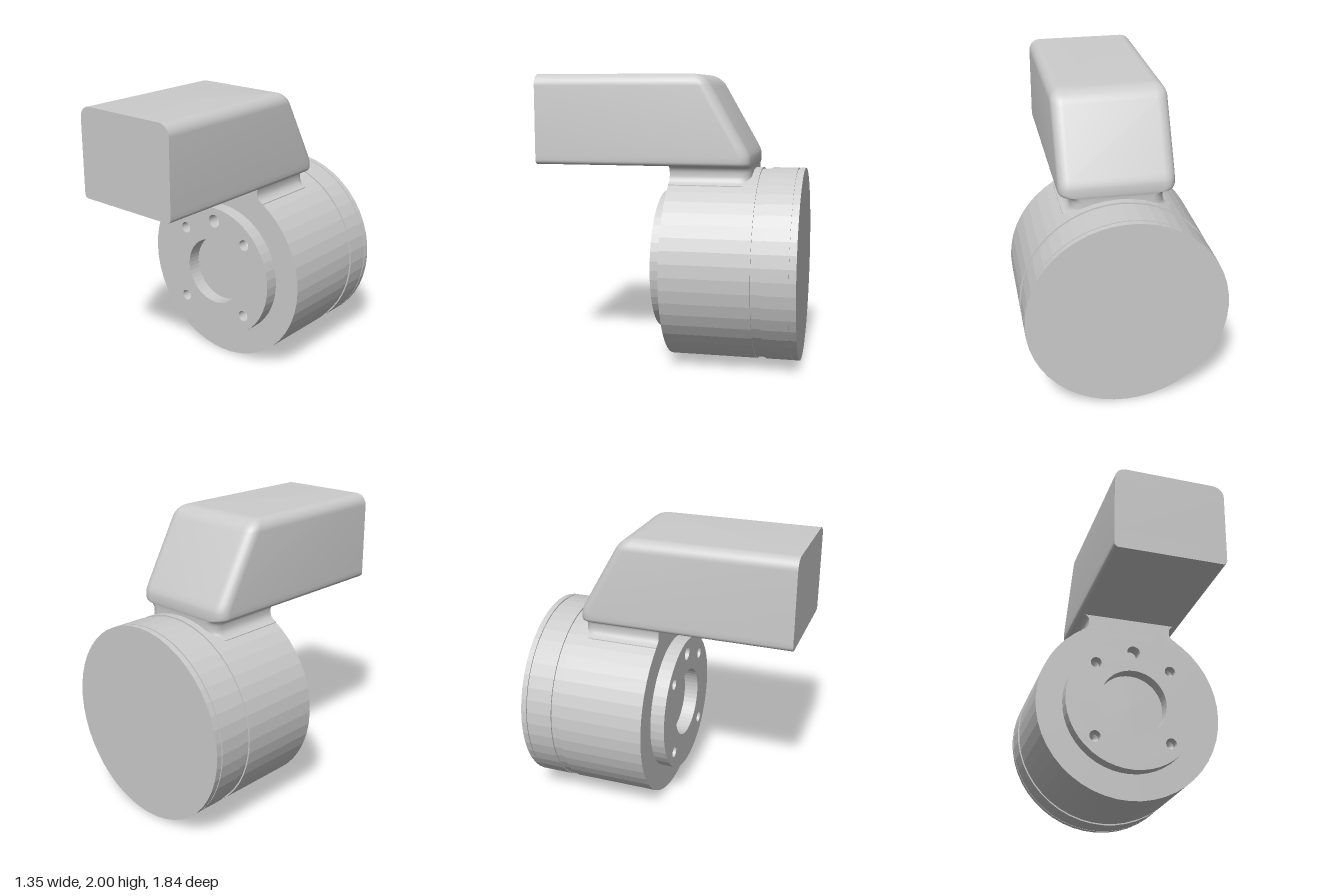
import * as THREE from 'three';
import { toCreasedNormals } from 'three/addons/utils/BufferGeometryUtils.js';

const AXIS_Y = 0.677;
const BODY_R = 0.677;
const material = (options = {}) => new THREE.MeshStandardMaterial({ color: 0xcccccc, ...options });

function addMesh(parent, name, geometry, mat = material()) {
  const mesh = new THREE.Mesh(geometry, mat);
  mesh.name = name;
  parent.add(mesh);
  return mesh;
}

// Horizontal outline: square front corners, rounded rear corners
function outline({ y, w, back, r }, front) {
  const pts = [[-w, y, front], [w, y, front]];
  const steps = 6;
  for (const side of [1, -1]) {
    for (let i = 0; i <= steps; i++) {
      const a = (side > 0 ? i / steps : 1 - i / steps) * Math.PI / 2;
      pts.push([side * (w - r + r * Math.cos(a)), y, back + r - r * Math.sin(a)]);
    }
  }
  return pts;
}

// Skin through a stack of outlines, closed at both ends
function loft(sections, front) {
  const rings = sections.map((s) => outline(s, front));
  const n = rings[0].length;
  const last = (rings.length - 1) * n;
  const index = [];
  for (let i = 0; i < rings.length - 1; i++) {
    for (let j = 0; j < n; j++) {
      const a = i * n + j;
      const b = i * n + (j + 1) % n;
      index.push(a, b, b + n, a, b + n, a + n);
    }
  }
  for (let j = 1; j < n - 1; j++) {
    index.push(0, j + 1, j, last, last + j, last + j + 1);
  }
  const geometry = new THREE.BufferGeometry();
  geometry.setAttribute('position', new THREE.Float32BufferAttribute(rings.flat(2), 3));
  geometry.setIndex(index);
  return toCreasedNormals(geometry, 0.7);
}

function circlePath(Type, x, y, r) {
  const path = new Type();
  path.absarc(x, y, r, 0, Math.PI * 2, false);
  return path;
}

export function createModel() {
  const model = new THREE.Group();

  // Round body with a wide groove and a thin seam near the rear
  const profile = [
    [0, -0.92], [BODY_R, -0.92], [BODY_R, -0.88], [BODY_R - 0.008, -0.88],
    [BODY_R - 0.008, -0.872], [BODY_R, -0.872], [BODY_R, -0.69], [BODY_R - 0.01, -0.69],
    [BODY_R - 0.01, -0.625], [BODY_R, -0.625], [BODY_R, -0.02], [0, -0.02],
  ].map(([r, z]) => new THREE.Vector2(r, z));
  const bodyGeometry = new THREE.LatheGeometry(profile, 48).rotateX(Math.PI / 2);
  addMesh(model, 'body', bodyGeometry, material({ flatShading: true })).position.y = AXIS_Y;

  // Front flange with centre bore, bolt holes and pin hole
  const flange = new THREE.Group();
  flange.name = 'flange';
  flange.position.set(0, AXIS_Y + 0.003, -0.02);
  model.add(flange);
  const bolts = [[1, 1], [-1, 1], [-1, -1], [1, -1]].map(([x, y]) => [x * 0.275, y * 0.275]);
  const ring = circlePath(THREE.Shape, 0, 0, 0.49);
  ring.holes.push(circlePath(THREE.Path, 0, 0, 0.245), circlePath(THREE.Path, 0, 0.39, 0.048));
  for (const [x, y] of bolts) ring.holes.push(circlePath(THREE.Path, x, y, 0.04));
  addMesh(flange, 'flangeRing',
    new THREE.ExtrudeGeometry(ring, { depth: 0.1, bevelEnabled: false, curveSegments: 24 }));

  // Conical bottoms of the bolt holes
  const tip = [[0, 0.003], [0.04, 0.03]].map(([r, z]) => new THREE.Vector2(r, z));
  const tipGeometry = new THREE.LatheGeometry(tip, 24).rotateX(Math.PI / 2);
  for (const [x, y] of bolts) {
    addMesh(flange, 'boltHoleBottom', tipGeometry, material({ side: THREE.DoubleSide }))
      .position.set(x, y, 0);
  }

  // Terminal housing: rounded underside, sloped back, rounded top
  const housing = [];
  for (let i = 0; i <= 4; i++) {
    const a = (i / 4) * Math.PI / 2;
    housing.push({ y: 1.41 - 0.03 * Math.cos(a), w: 0.36 + 0.03 * Math.sin(a), back: -0.575, r: 0.08 });
  }
  for (const [y, back] of [[1.44, -0.574], [1.46, -0.569], [1.48, -0.56], [1.5, -0.55]]) {
    housing.push({ y, w: 0.39, back, r: 0.08 });
  }
  for (let i = 0; i <= 8; i++) {
    const a = (i / 8) * Math.PI / 2;
    const y = 1.92 + 0.08 * Math.sin(a);
    const rise = Math.min(1, (y - 1.84) / 0.16);
    housing.push({
      y,
      w: 0.31 + 0.08 * Math.cos(a),
      back: -0.171 - 0.16 * Math.sqrt(1 - rise * rise),
      r: 0.01 + 0.07 * Math.cos(a),
    });
  }
  addMesh(model, 'housing', loft(housing, 0.92));

  // Waisted neck, flared into the body and the housing
  const neck = [
    [1.2, 0.36], [1.255, 0.36], [1.265, 0.337], [1.28, 0.32], [1.295, 0.312], [1.31, 0.309],
    [1.34, 0.309], [1.355, 0.313], [1.368, 0.322], [1.377, 0.337], [1.382, 0.36],
  ].map(([y, w]) => ({ y, w, back: -0.575, r: 0.08 }));
  addMesh(model, 'neck', loft(neck, -0.02));

  return model;
}
